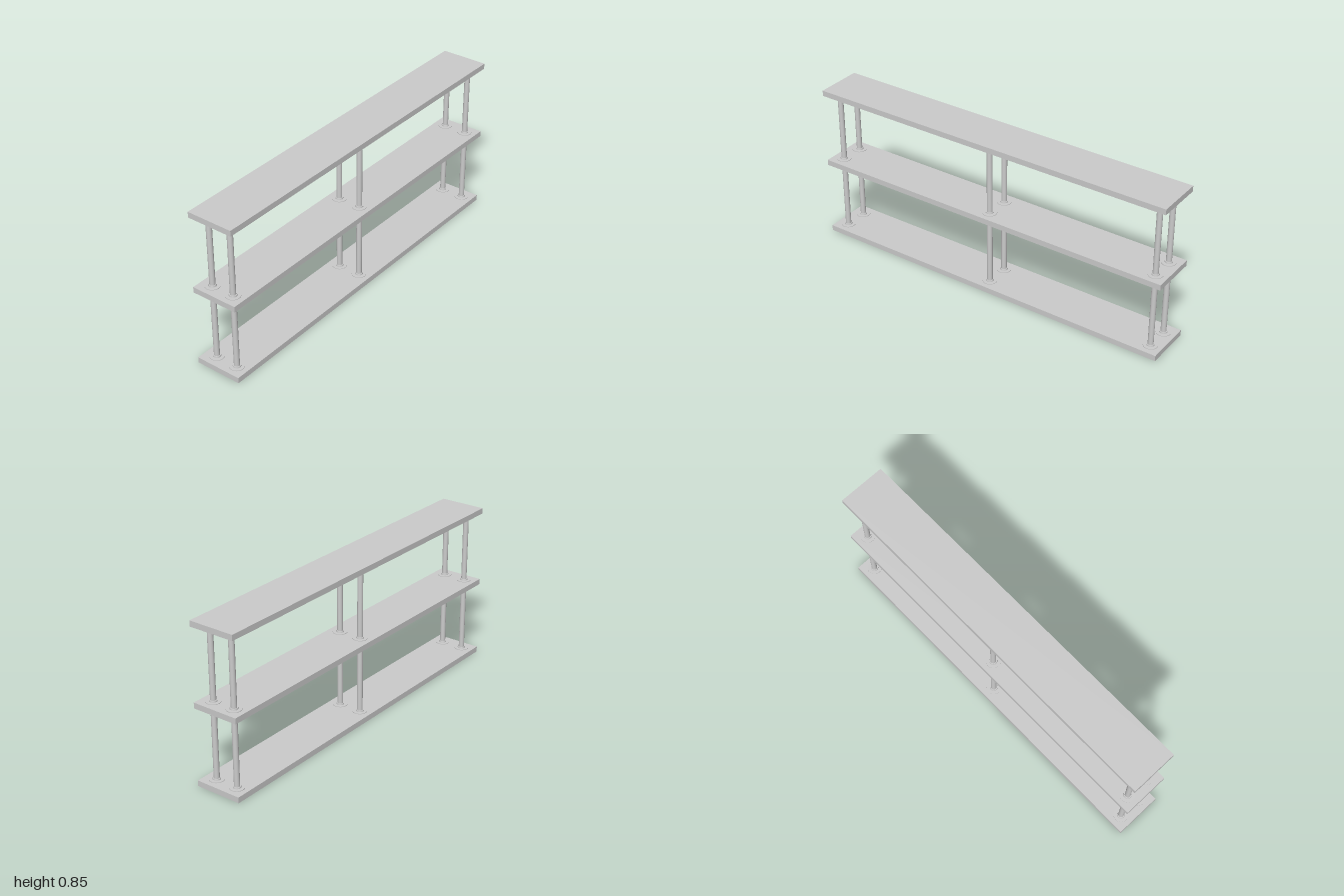
import * as THREE from 'three';

const material = new THREE.MeshStandardMaterial({ color: 0xcccccc });
const SHELF_T = 0.03;
const SHELF_Y = [0, 0.4075, 0.815]; // undersides of the three boards
const GAP = SHELF_Y[1] - SHELF_T;

function part(name, geometry, y) {
  const mesh = new THREE.Mesh(geometry, material);
  mesh.name = name;
  mesh.position.y = y;
  return mesh;
}

// Thin round plate with a short collar, standing on y = 0
function createFlange(name) {
  const flange = new THREE.Group();
  flange.name = name;
  flange.add(
    part('flangePlate', new THREE.CylinderGeometry(0.037, 0.037, 0.003, 32), 0.0015),
    part('flangeCollar', new THREE.CylinderGeometry(0.019, 0.02, 0.007, 32), 0.0065)
  );
  return flange;
}

// Pipe post with a flange at each end
function createPost() {
  const post = new THREE.Group();
  post.name = 'post';
  const top = createFlange('topFlange');
  top.rotation.x = Math.PI;
  top.position.y = GAP;
  post.add(
    part('pipe', new THREE.CylinderGeometry(0.0145, 0.0145, GAP, 32, 1, true), GAP / 2),
    createFlange('bottomFlange'),
    top
  );
  return post;
}

export function createModel() {
  const model = new THREE.Group();
  model.name = 'shelfUnit';

  // Boards
  for (const y of SHELF_Y) {
    model.add(part('shelf', new THREE.BoxGeometry(2, SHELF_T, 0.25), y + SHELF_T / 2));
  }

  // Three pairs of posts on each of the two levels
  for (const y of SHELF_Y.slice(0, 2)) {
    for (const x of [-0.938, 0, 0.938]) {
      for (const z of [-0.0625, 0.0625]) {
        const post = createPost();
        post.position.set(x, y + SHELF_T, z);
        model.add(post);
      }
    }
  }
  return model;
}
